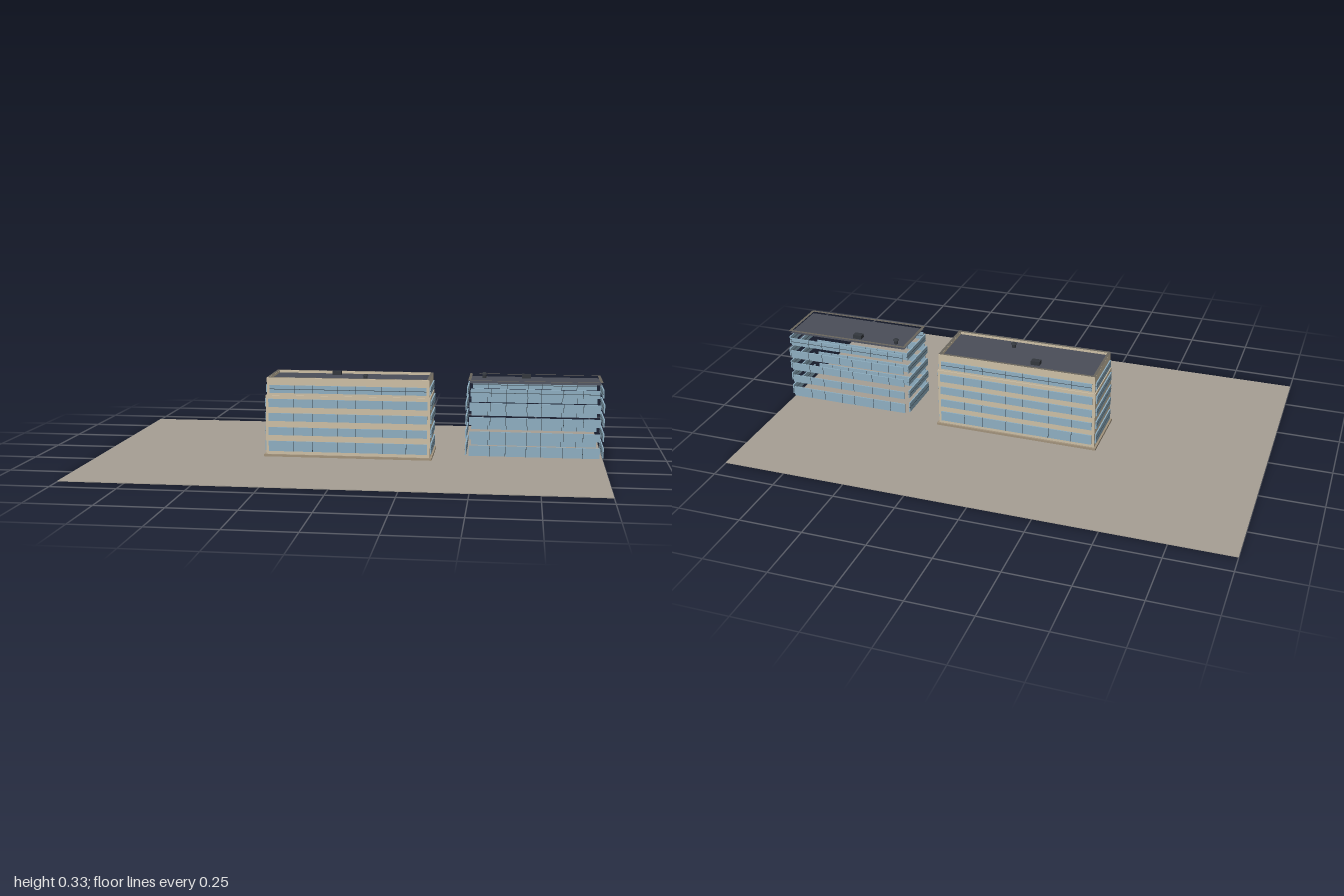
import * as THREE from 'three';

const mat = (name, color) => {
  const m = new THREE.MeshStandardMaterial({ color });
  m.name = name;
  return m;
};

export function createModel() {
  const ground = mat('paving', 0xa69f94);
  const wall = mat('tan wall', 0xcdbfa5);
  const plinth = mat('plinth stone', 0xa2937c);
  const glass = mat('blue glass', 0x8fafc2);
  const frame = mat('dark frame', 0x3c4850);
  const roof = mat('slate roof', 0x4a4e58);
  const coping = mat('coping', 0x6a665d);
  const plant = mat('roof plant', 0x33373d);
  roof.side = coping.side = THREE.DoubleSide;

  const model = new THREE.Group();
  model.name = 'officeSite';

  function add(parent, name, geometry, material, x, y, z) {
    const mesh = new THREE.Mesh(geometry, material);
    mesh.name = name;
    mesh.position.set(x, y, z);
    parent.add(mesh);
    return mesh;
  }
  const box = (parent, name, m, w, h, d, x, y, z) =>
    add(parent, name, new THREE.BoxGeometry(w, h, d), m, x, y, z);

  // Rectangular ring lying flat
  function ringShape(hx, hz, t) {
    const rect = (a, b) => [[-a, -b], [a, -b], [a, b], [-a, b]].map(p => new THREE.Vector2(...p));
    const s = new THREE.Shape(rect(hx, hz));
    s.holes.push(new THREE.Path(rect(hx - t, hz - t).reverse()));
    return s;
  }

  // Window bands, bottom and top of each floor
  const floors = [[0.025, 0.066], [0.09, 0.122], [0.147, 0.179], [0.203, 0.236], [0.26, 0.291]];
  const joints = [0.16, 0.28, 0.44, 0.55, 0.72, 0.87];
  const DECK = 0.311, TOP = 0.321, STEP = 0.25, INSET = 0.004;

  // One glazed band facing +z, with thin glazing bars
  function windowBand(halfWidth, height, splits, rail) {
    const band = new THREE.Group();
    band.name = 'windowBand';
    box(band, 'glazing', glass, halfWidth * 2, height, 0.005, 0, 0, 0);
    splits.forEach(f => box(band, 'mullion', frame, 0.002, height, 0.0056,
      (f * 2 - 1) * halfWidth, 0, 0));
    if (rail) box(band, 'rail', frame, halfWidth * 2, 0.002, 0.0056, 0, 0, 0);
    return band;
  }

  function building(name, cx, hx, hz, solid) {
    const b = new THREE.Group();
    b.name = name;
    b.position.x = cx;
    model.add(b);

    // Glazing on the four sides; the top floor is set back
    floors.forEach(([y0, y1], i) => {
      const top = i === floors.length - 1;
      const ax = hx - (top ? INSET : 0), az = hz - (top ? INSET : 0);
      for (let side = 0; side < 4; side++) {
        const long = side % 2 === 0;
        const band = windowBand((long ? ax : az) - 0.011, y1 - y0,
          long ? joints : [], !long || top);
        const a = side * Math.PI / 2, r = (long ? az : ax) + 0.0025;
        band.rotation.y = a;
        band.position.set(Math.sin(a) * r, (y0 + y1) / 2, Math.cos(a) * r);
        b.add(band);
      }
    });

    // Walls, plinth and parapet
    const ix = hx - INSET, iz = hz - INSET;
    if (solid) {
      box(b, 'plinth', plinth, hx * 2 + 0.016, 0.012, hz * 2 + 0.016, 0, 0.006, 0);
      box(b, 'lowerWalls', wall, hx * 2, STEP, hz * 2, 0, STEP / 2, 0);
      box(b, 'upperWalls', wall, ix * 2, DECK - STEP - 0.001, iz * 2, 0, (DECK + STEP - 0.001) / 2, 0);
      const g = new THREE.ExtrudeGeometry(ringShape(ix, iz, 0.011),
        { depth: TOP - DECK + 0.001, bevelEnabled: false });
      add(b, 'parapet', g.rotateX(-Math.PI / 2), wall, 0, DECK - 0.001, 0);
    }
    add(b, 'roofDeck', new THREE.PlaneGeometry(ix * 2 - 0.01, iz * 2 - 0.01).rotateX(-Math.PI / 2),
      roof, 0, DECK, 0);
    add(b, 'coping', new THREE.ShapeGeometry(ringShape(ix, iz, 0.011)).rotateX(-Math.PI / 2),
      coping, 0, TOP + 0.0005, 0);
    return b;
  }

  // Rooftop equipment
  function airUnit(b, x, z) {
    box(b, 'airUnit', plant, 0.036, 0.016, 0.026, x, DECK + 0.009, z);
  }
  function vent(b, x, z) {
    add(b, 'ventPipe', new THREE.CylinderGeometry(0.008, 0.008, 0.016, 12), plant, x, DECK + 0.008, z);
    add(b, 'ventCap', new THREE.CylinderGeometry(0.006, 0.013, 0.007, 12), plant, x, DECK + 0.0185, z);
  }

  box(model, 'ground', ground, 2, 0.003, 1.33, 0, 0.0015, 0);

  const main = building('mainBuilding', -0.005, 0.328, 0.121, true);
  airUnit(main, -0.067, -0.061);
  vent(main, 0.065, 0.057);

  const annex = building('glassAnnex', 0.729, 0.264, 0.113, false);
  vent(annex, -0.202, -0.061);
  airUnit(annex, -0.034, -0.061);

  return model;
}
